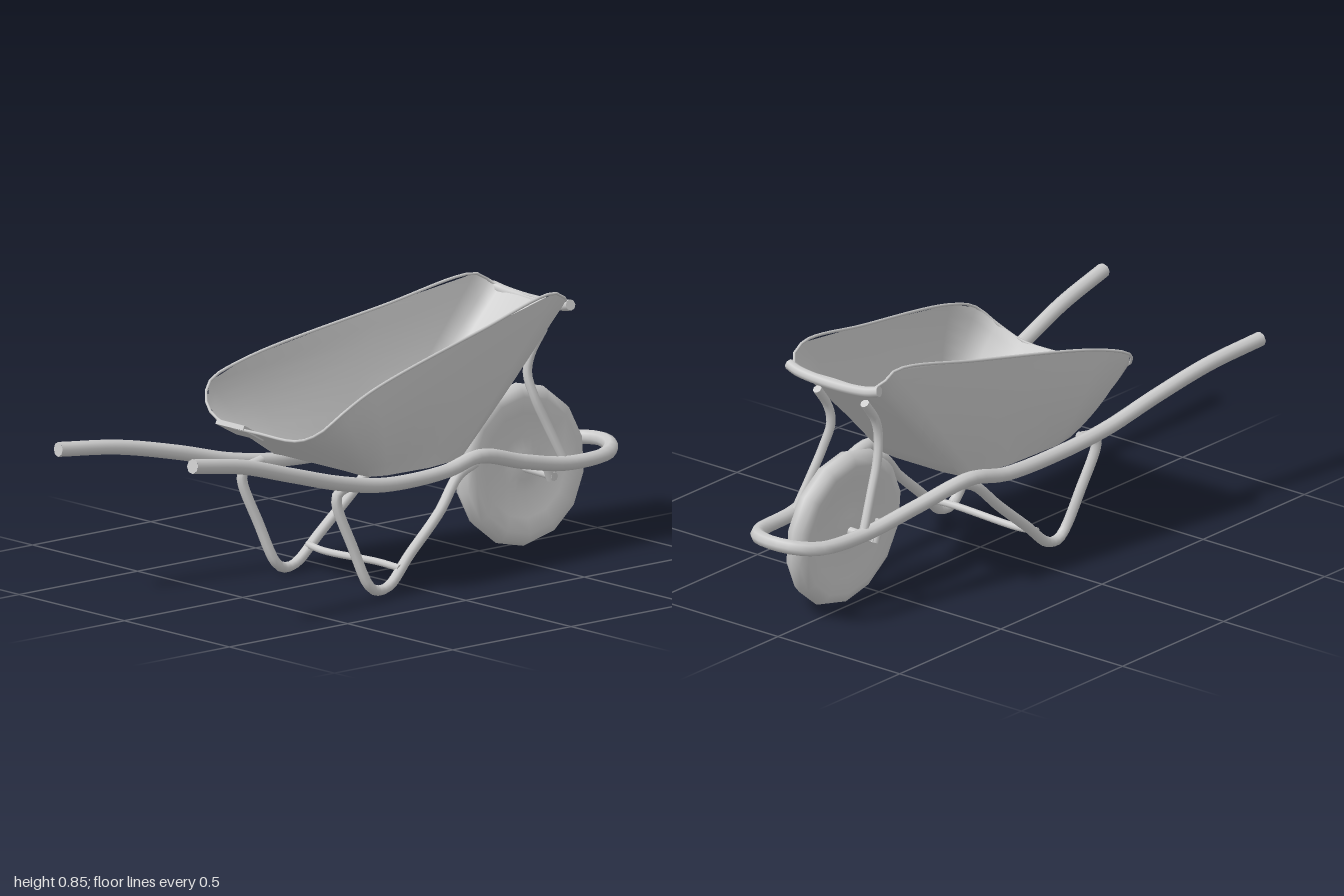
import * as THREE from 'three';
import { toCreasedNormals } from 'three/addons/utils/BufferGeometryUtils.js';

const grey = new THREE.MeshStandardMaterial({ color: 0xcccccc });
const greyDouble = new THREE.MeshStandardMaterial({ color: 0xcccccc, side: THREE.DoubleSide });

function add(parent, name, geometry, material = grey) {
  const mesh = new THREE.Mesh(geometry, material);
  mesh.name = name;
  parent.add(mesh);
  return mesh;
}

// Bent pipe through points, with closed ends
function pipe(parent, name, points, radius, segments = 24) {
  const v = points.map(p => new THREE.Vector3(...p));
  const curve = new THREE.CatmullRomCurve3(v, false, 'centripetal');
  const group = new THREE.Group();
  group.name = name;
  parent.add(group);
  add(group, name + 'Tube', new THREE.TubeGeometry(curve, segments, radius, 8));
  [0, 1].forEach(t => {
    const cap = add(group, name + 'End', new THREE.CircleGeometry(radius, 8));
    cap.position.copy(v[t ? v.length - 1 : 0]);
    const dir = curve.getTangent(t).multiplyScalar(t ? 1 : -1);
    cap.quaternion.setFromUnitVectors(new THREE.Vector3(0, 0, 1), dir);
  });
}

// Half outlines from rear centre to front centre, mirrored into loops
const rimHalf = [
  [-0.43, 0.52, 0], [-0.425, 0.525, 0.18], [-0.41, 0.565, 0.27], [-0.36, 0.625, 0.315], [-0.22, 0.68, 0.305],
  [0.3, 0.785, 0.235], [0.65, 0.845, 0.19], [0.705, 0.815, 0.183], [0.725, 0.797, 0.155], [0.725, 0.79, 0],
];
const floorHalf = [
  [-0.2, 0.39, 0], [-0.2, 0.39, 0.15], [-0.19, 0.385, 0.2], [-0.17, 0.38, 0.23], [-0.1, 0.375, 0.235],
  [0.1, 0.365, 0.21], [0.25, 0.365, 0.185], [0.29, 0.37, 0.16], [0.3, 0.37, 0.1], [0.3, 0.37, 0],
];
const mirrorLoop = half => half.concat(half.slice(1, -1).reverse().map(([x, y, z]) => [x, y, -z]));

// Open tray: rim loop eased down into the floor loop, then a floor fan
function trayGeometry() {
  const rim = mirrorLoop(rimHalf), floor = mirrorLoop(floorHalf);
  const n = rim.length, rows = 8, pos = [], index = [];
  for (let r = 0; r <= rows; r++) {
    const t = r / rows;
    rim.forEach((a, i) => {
      const b = floor[i];
      pos.push(a[0] + (b[0] - a[0]) * t, a[1] + (b[1] - a[1]) * t, a[2] + (b[2] - a[2]) * t ** 2.1);
    });
  }
  const centre = pos.length / 3;
  pos.push(0.06, 0.37, 0);
  for (let i = 0; i < n; i++) {
    const j = (i + 1) % n;
    for (let r = 0; r < rows; r++) {
      const a = r * n + i, b = r * n + j;
      index.push(a, a + n, b, b, a + n, b + n);
    }
    index.push(rows * n + i, centre, rows * n + j);
  }
  const g = new THREE.BufferGeometry();
  g.setAttribute('position', new THREE.Float32BufferAttribute(pos, 3));
  g.setIndex(index);
  return toCreasedNormals(g, 1.0);
}

export function createModel() {
  const model = new THREE.Group();
  model.name = 'wheelbarrow';

  // Tray with a thin rim, a rolled front lip and a rear tab
  const tray = new THREE.Group();
  tray.name = 'tray';
  model.add(tray);
  add(tray, 'trayShell', trayGeometry(), greyDouble);
  const rimCurve = new THREE.CatmullRomCurve3(
    mirrorLoop(rimHalf).map(p => new THREE.Vector3(...p)), true, 'centripetal');
  add(tray, 'trayRim', new THREE.TubeGeometry(rimCurve, 80, 0.005, 6, true));
  pipe(tray, 'frontLip', [[0.722, 0.795, 0.185], [0.73, 0.785, 0.14], [0.733, 0.777, 0],
    [0.73, 0.785, -0.14], [0.722, 0.795, -0.185]], 0.018);
  const tab = add(tray, 'rearTab', new THREE.BoxGeometry(0.1, 0.016, 0.13));
  tab.position.set(-0.39, 0.503, -0.135);
  tab.rotation.z = -0.5;

  // One pipe forms both handles, the side rails and the loop round the wheel
  pipe(model, 'handleFrame', [
    [-1, 0.555, 0.325], [-0.77, 0.515, 0.305], [-0.55, 0.452, 0.287], [-0.32, 0.387, 0.265],
    [-0.12, 0.35, 0.25], [0.15, 0.35, 0.235], [0.3, 0.375, 0.225], [0.5, 0.325, 0.205],
    [0.7, 0.285, 0.185], [0.88, 0.285, 0.17], [0.95, 0.295, 0.12], [0.975, 0.3, 0.04], [0.95, 0.295, -0.04],
    [0.88, 0.285, -0.085], [0.7, 0.285, -0.11], [0.5, 0.325, -0.15], [0.3, 0.375, -0.205],
    [0.15, 0.35, -0.225], [-0.12, 0.35, -0.24], [-0.32, 0.375, -0.26],
    [-0.52, 0.425, -0.285], [-0.75, 0.472, -0.312], [-0.98, 0.495, -0.337],
  ], 0.024, 120);

  // Wheel with dished sides, leaning a little
  const profile = [[0, -0.028], [0.05, -0.026], [0.09, -0.02], [0.17, -0.03], [0.22, -0.038], [0.25, -0.028],
    [0.262, 0], [0.25, 0.028], [0.22, 0.038], [0.17, 0.03], [0.09, 0.02], [0.05, 0.026], [0, 0.028]];
  const wheel = add(model, 'wheel',
    new THREE.LatheGeometry(profile.map(p => new THREE.Vector2(...p)), 14));
  wheel.position.set(0.65, 0.262, 0.022);
  wheel.rotation.x = Math.PI / 2 - 0.07;
  pipe(model, 'axle', [[0.65, 0.25, 0.19], [0.65, 0.255, 0.04], [0.65, 0.25, -0.11]], 0.014, 4);

  // Struts from the front of the tray to the rails, and axle hangers
  [[0.11, 0.175], [-0.085, -0.105]].forEach(([top, bottom]) => {
    pipe(model, 'frontStrut', [[0.674, 0.715, top], [0.62, 0.64, top], [0.606, 0.58, top],
      [0.62, 0.5, top + (bottom - top) * 0.3], [0.655, 0.41, top + (bottom - top) * 0.6],
      [0.7, 0.3, bottom]], 0.015);
    pipe(model, 'axleHanger', [[0.62, 0.31, bottom], [0.65, 0.24, bottom]], 0.016, 2);
  });

  // V-shaped legs: rear arm, foot and long front arm
  [[0.225, 0.268, 0.205], [-0.225, -0.175, -0.17]].forEach(([rear, foot, front]) => {
    pipe(model, 'leg', [[-0.22, 0.365, rear], [-0.295, 0.345, rear], [-0.303, 0.315, rear],
      [-0.255, 0.17, (rear + foot) / 2], [-0.205, 0.04, foot], [-0.17, 0.018, foot], [-0.12, 0.025, foot],
      [-0.02, 0.108, foot * 0.75 + front * 0.25], [0.12, 0.222, (foot + front) / 2],
      [0.23, 0.32, front], [0.3, 0.35, front]], 0.017, 48);
  });
  pipe(model, 'legCrossbar', [[-0.07, 0.075, 0.265], [-0.07, 0.078, 0.16], [-0.07, 0.07, -0.1],
    [-0.07, 0.078, -0.175]], 0.012);

  return model;
}
